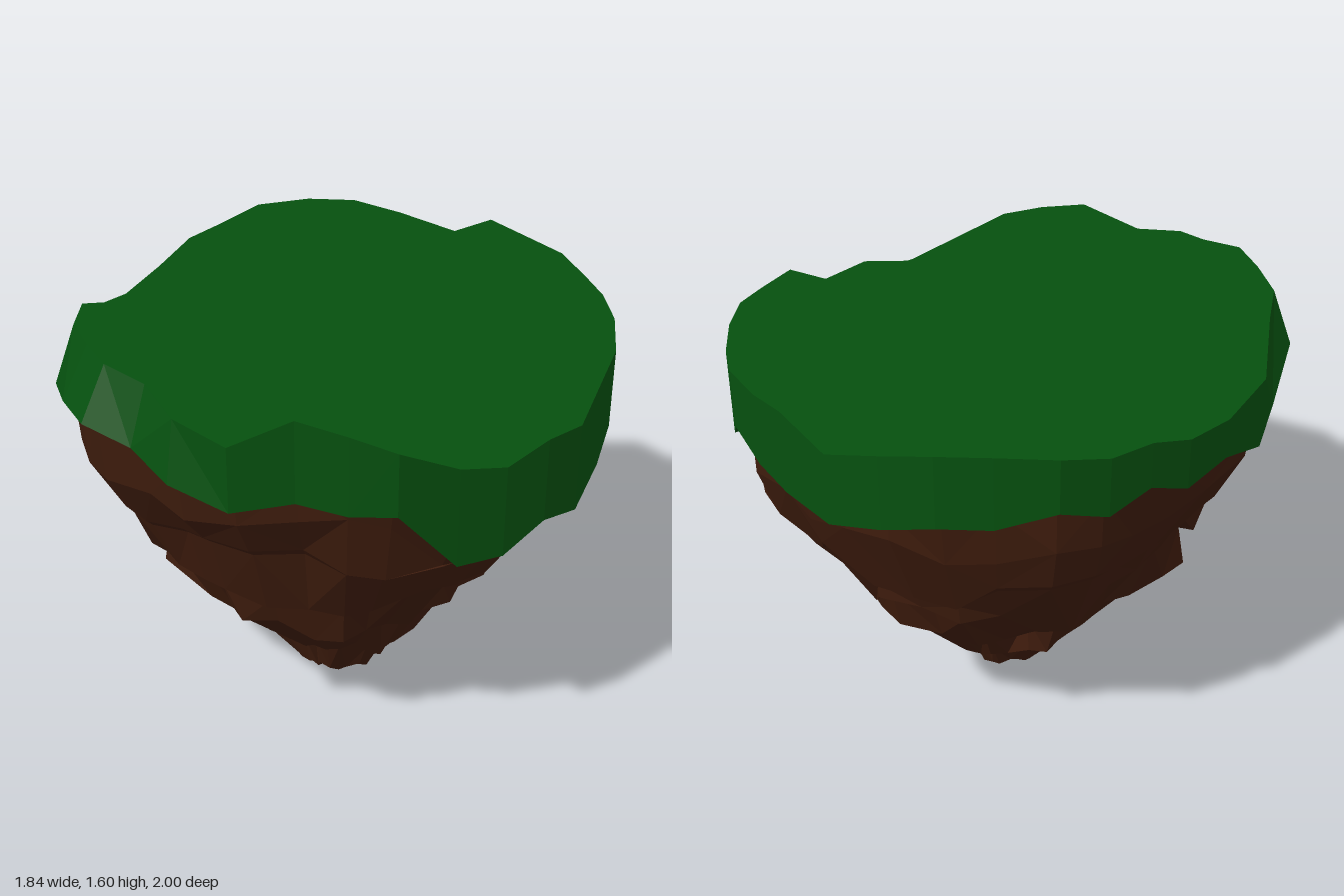
import * as THREE from 'three';

// Rim of the island, from the back round by +x: x, z, turf top y, turf bottom y
const RIM = [
  [0.01, -1.0, 1.54, 1.27], [0.20, -0.99, 1.53, 1.31], [0.36, -0.93, 1.51, 1.18], [0.52, -0.84, 1.51, 1.25],
  [0.66, -0.73, 1.50, 1.33], [0.78, -0.59, 1.465, 1.17], [0.86, -0.43, 1.46, 1.11], [0.91, -0.26, 1.35, 1.02],
  [0.92, -0.08, 1.37, 1.06], [0.90, 0.10, 1.33, 0.99], [0.85, 0.27, 1.37, 1.00], [0.78, 0.48, 1.48, 1.25],
  [0.66, 0.58, 1.53, 1.24], [0.52, 0.68, 1.57, 1.27], [0.38, 0.84, 1.48, 1.24], [0.20, 0.94, 1.53, 1.31],
  [0.02, 0.94, 1.575, 1.37], [-0.16, 1.0, 1.60, 1.41], [-0.33, 0.95, 1.60, 1.41], [-0.50, 0.86, 1.595, 1.38],
  [-0.62, 0.69, 1.585, 1.24], [-0.75, 0.52, 1.47, 1.20], [-0.83, 0.30, 1.43, 1.28], [-0.89, 0.09, 1.46, 1.27],
  [-0.91, -0.08, 1.52, 1.35], [-0.92, -0.25, 1.53, 1.31], [-0.89, -0.42, 1.57, 1.37], [-0.78, -0.59, 1.58, 1.31],
  [-0.66, -0.73, 1.57, 1.30], [-0.51, -0.84, 1.53, 1.25], [-0.33, -0.93, 1.47, 1.20], [-0.16, -0.99, 1.56, 1.25],
];
const N = RIM.length;

// Repeatable noise in 0..1
const noise = (a, b) => {
  const s = Math.sin(a * 127.1 + b * 311.7) * 43758.5453;
  return s - Math.floor(s);
};

// Skin closed rings of points, ordered from top to bottom
function skin(rings) {
  const pos = [];
  for (let r = 0; r < rings.length - 1; r++) {
    for (let i = 0; i < N; i++) {
      const j = (i + 1) % N;
      const [a, b, c, d] = [rings[r][i], rings[r][j], rings[r + 1][j], rings[r + 1][i]];
      // alternate the diagonal for a broken, craggy surface
      if ((i + r) % 2) pos.push(...a, ...b, ...c, ...a, ...c, ...d);
      else pos.push(...a, ...b, ...d, ...b, ...c, ...d);
    }
  }
  return toGeometry(pos);
}

function toGeometry(pos) {
  const g = new THREE.BufferGeometry();
  g.setAttribute('position', new THREE.Float32BufferAttribute(pos, 3));
  g.computeVertexNormals();
  return g;
}

// Width of the rock, as a share of the rim, at height y
const PROFILE = [[0, 0], [0.04, 0.12], [0.1, 0.21], [0.22, 0.32], [0.3, 0.4], [0.45, 0.53], [0.6, 0.65],
  [0.75, 0.75], [1.0, 0.865], [1.3, 0.955], [1.5, 0.97]];
function widthAt(y) {
  for (let k = 1; k < PROFILE.length; k++) {
    const [y0, f0] = PROFILE[k - 1], [y1, f1] = PROFILE[k];
    if (y <= y1) return f0 + (f1 - f0) * Math.max(0, y - y0) / (y1 - y0);
  }
  return 0.97;
}

// Jutting crags (positive) and hollows (negative): column, height, extra width, spread in columns
const CRAGS = [
  [20.5, 0.5, 0.16, 1.4], [2, 0.97, 0.06, 1.6], [30, 0.66, 0.05, 1.6], [8, 0.85, 0.05, 3],
  [16, 0.93, -0.08, 3.2], [16, 0.25, -0.1, 3.5],
];
function cragAt(i, y) {
  let sum = 0;
  for (const [column, height, size, spread] of CRAGS) {
    const turn = Math.abs(i - column);
    const across = Math.min(turn, N - turn) / spread;
    sum += size * Math.exp(-across * across - ((y - height) / 0.17) ** 2);
  }
  return sum;
}

// One ring of rock. Each clump of columns is raised or lowered together, and a lip
// shares its seed with the undercut below, so that ledges are staggered round the body.
function rockRing({ seed, y, jitter, undercut = 0, rough = 0.1 }) {
  return RIM.map(([x, z, , bottom], i) => {
    const clump = Math.floor((i + seed) / (seed % 2 ? 2 : 3));
    const lift = jitter * (noise(clump, seed) - 0.5) + 0.05 * (noise(i, seed + 20) - 0.5);
    const h = Math.max(0.015, Math.min(y + lift, bottom - 0.05));
    // upright flutes fade out towards the turf
    const flute = 0.16 * (noise(i, 99) - 0.35) * Math.min(1, Math.max(0, (0.95 - h) / 0.4));
    const wear = flute + rough * (0.6 * noise(clump, seed + 40) + 0.4 * noise(i, seed + 60));
    const f = (widthAt(h) + cragAt(i, h)) * (1.05 - wear) - undercut * noise(clump, seed + 80);
    return [x * f, h, z * f];
  });
}

export function createModel() {
  const island = new THREE.Group();
  island.name = 'floatingIsland';
  const grass = new THREE.MeshStandardMaterial({ color: 0x06500f, flatShading: true });
  const grassTop = new THREE.MeshStandardMaterial({ color: 0x06500f });
  const rock = new THREE.MeshStandardMaterial({ color: 0x3e1c0d, flatShading: true });
  const add = (name, geometry, material) => {
    const mesh = new THREE.Mesh(geometry, material);
    mesh.name = name;
    island.add(mesh);
  };

  // Turf edge: hanging band, leaning inwards at the front, with a thin underside
  const top = RIM.map(([x, z, y], i) => {
    const f = i > 14 && i < 21 ? 1 - 0.1 * Math.sin(Math.PI * (i - 14) / 7) : 1;
    return [x * f, y, z * f];
  });
  const lip = RIM.map(([x, z, , y]) => [x, y, z]);
  const under = RIM.map(([x, z, , y]) => [x * 0.92, y + 0.02, z * 0.92]);
  add('turfEdge', skin([top, lip, under]), grass);

  // Turf top: one wide sheet fanned from a point on the back rim, shaded as level ground
  const fan = [];
  for (let s = 1; s < N - 1; s++) fan.push(...top[2], ...top[(s + 3) % N], ...top[(s + 2) % N]);
  const cap = toGeometry(fan);
  const normals = cap.attributes.normal;
  for (let i = 0; i < normals.count; i++) normals.setXYZ(i, 0, 1, 0);
  add('turfTop', cap, grassTop);

  // Rock body: ragged, staggered ledges narrowing to a point
  const collar = RIM.map(([x, z, , y]) => [x * 0.95, y + 0.04, z * 0.95]);
  const ledges = [
    { seed: 1, y: 1.13, jitter: 0.08, rough: 0.06 },
    { seed: 2, y: 0.93, jitter: 0.22, rough: 0.08 },
    { seed: 2, y: 0.91, jitter: 0.18, rough: 0.08, undercut: 0.03 },
    { seed: 3, y: 0.72, jitter: 0.2, rough: 0.12 },
    { seed: 3, y: 0.72, jitter: 0.16, rough: 0.12, undercut: 0.08 },
    { seed: 4, y: 0.48, jitter: 0.18, rough: 0.14 },
    { seed: 4, y: 0.49, jitter: 0.16, rough: 0.14, undercut: 0.1 },
    { seed: 5, y: 0.27, jitter: 0.16, rough: 0.16 },
    { seed: 5, y: 0.27, jitter: 0.14, rough: 0.16, undercut: 0.07 },
    { seed: 7, y: 0.08, jitter: 0.07, rough: 0.16 },
  ];
  const tip = RIM.map(() => [-0.02, 0, -0.02]);
  add('rockBody', skin([collar, ...ledges.map(rockRing), tip]), rock);

  return island;
}
